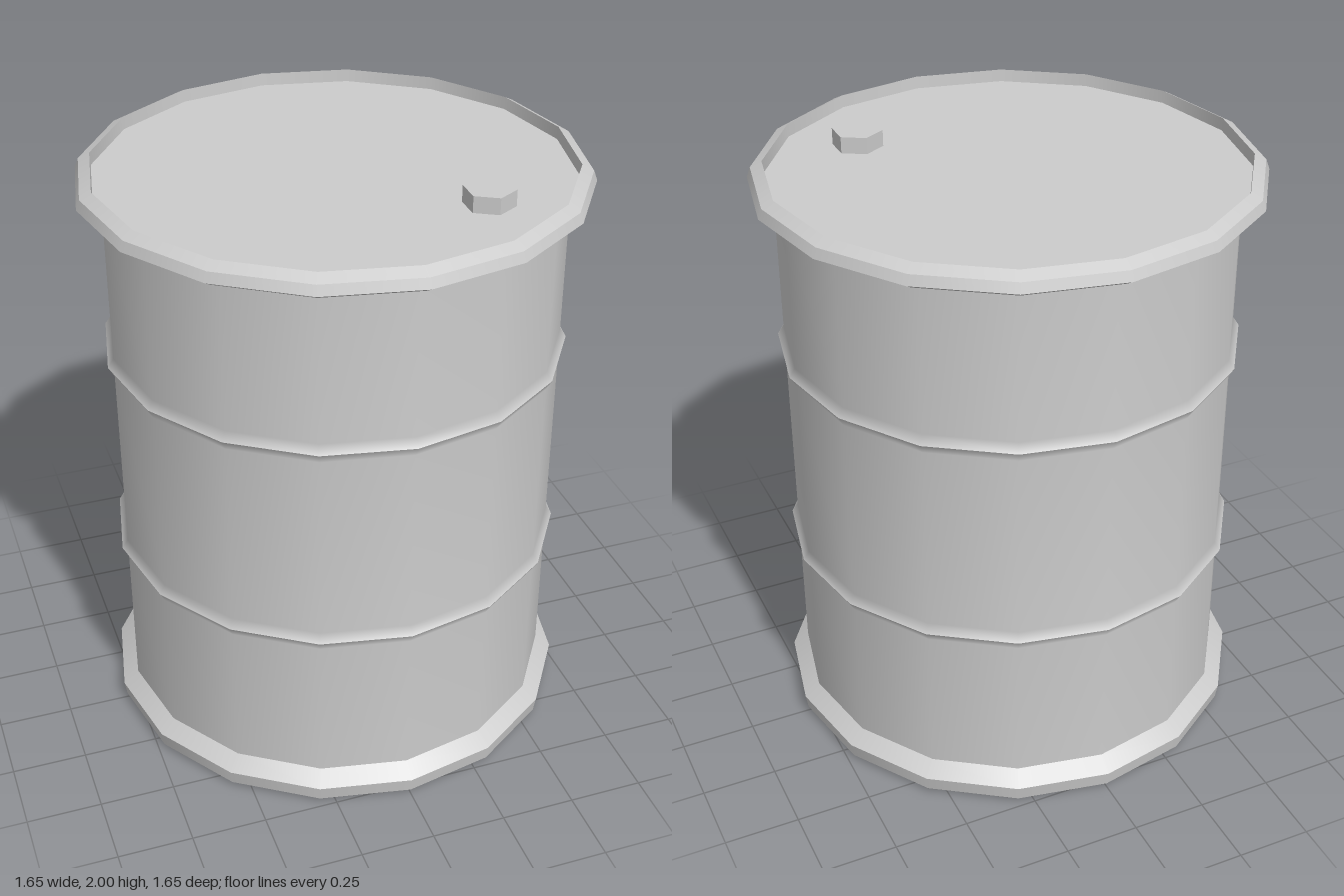
import * as THREE from 'three';
import { mergeGeometries } from 'three/addons/utils/BufferGeometryUtils.js';

const SIDES = 16;
const material = new THREE.MeshStandardMaterial({ color: 0xcccccc });

function addMesh(group, name, geometry) {
  const mesh = new THREE.Mesh(geometry, material);
  mesh.name = name;
  group.add(mesh);
  return mesh;
}

// Smooth turned surface; profile is [radius, height] from bottom to top outside
function turned(profile) {
  return new THREE.LatheGeometry(profile.map(([r, y]) => new THREE.Vector2(r, y)), SIDES);
}

// Turned surface with a hard edge at every profile point, smooth around the axis
function turnedBands(profile) {
  return mergeGeometries(profile.slice(1).map((p, i) => turned([profile[i], p])));
}

export function createModel() {
  const barrel = new THREE.Group();
  barrel.name = 'barrel';

  // Body wall in three sections that meet at the crests of the two ribs
  const R = 0.745, CREST = 0.765;
  const ribs = [0.66, 1.374];
  addMesh(barrel, 'bodyWall', mergeGeometries([
    turned([[R, 0.1], [R, ribs[0] - 0.035], [CREST, ribs[0]]]),
    turned([[CREST, ribs[0]], [R, ribs[0] + 0.03], [R, ribs[1] - 0.035], [CREST, ribs[1]]]),
    turned([[CREST, ribs[1]], [R, ribs[1] + 0.03], [R, 1.92]]),
  ]));

  // Base with its flared foot ring
  addMesh(barrel, 'base', turnedBands([
    [0, 0], [0.775, 0], [0.79, 0.015], [0.798, 0.065], [R, 0.108],
  ]));

  // Top rim, raised around a recessed lid
  addMesh(barrel, 'topRim', turnedBands([
    [R, 1.915], [0.79, 1.915], [0.823, 1.935], [0.811, 1.967], [0.773, 1.987], [0.771, 1.945],
  ]));
  addMesh(barrel, 'lid', turned([[0.771, 1.945], [0, 1.945]]));

  // Hexagonal filler plug
  const plug = new THREE.CylinderGeometry(0.083, 0.083, 0.06, 6).toNonIndexed();
  plug.computeVertexNormals();
  addMesh(barrel, 'fillerPlug', plug).position.set(0.363, 1.97, 0.385);

  return barrel;
}
